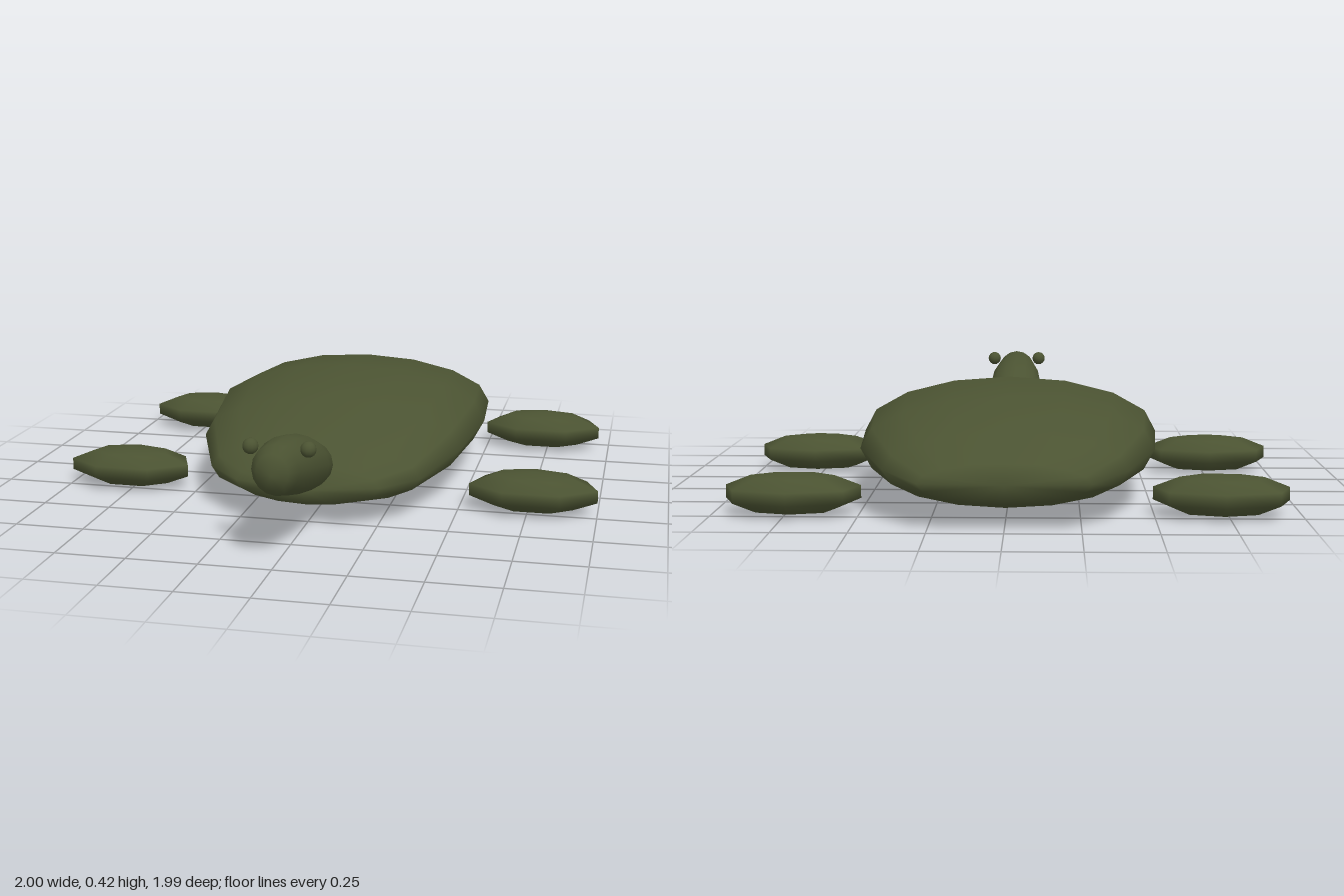
import * as THREE from 'three';
import { mergeVertices } from 'three/addons/utils/BufferGeometryUtils.js';

// Loft elliptical rings, front to back. Each ring: [topZ, topY, bottomZ, bottomY, halfWidth]
function loft(rings, sides) {
  const positions = [];
  const index = [];
  for (const [tz, ty, bz, by, w] of rings) {
    for (let j = 0; j < sides; j++) {
      const a = (j / sides) * Math.PI * 2;
      const s = Math.sin(a) / 2;
      positions.push(
        w * Math.cos(a),
        (ty + by) / 2 + (ty - by) * s,
        (tz + bz) / 2 + (tz - bz) * s
      );
    }
  }
  for (let i = 0; i < rings.length - 1; i++) {
    for (let j = 0; j < sides; j++) {
      const k = (j + 1) % sides;
      const a = i * sides + j, b = i * sides + k;
      const c = a + sides, d = b + sides;
      if (i > 0) index.push(a, c, b);
      if (i < rings.length - 2) index.push(b, c, d);
      else if (i === 0) index.push(a, c, b);
    }
  }
  const geometry = new THREE.BufferGeometry();
  geometry.setAttribute('position', new THREE.Float32BufferAttribute(positions, 3));
  geometry.setIndex(index);
  const welded = mergeVertices(geometry, 1e-5);
  welded.computeVertexNormals();
  return welded;
}

export function createModel() {
  const model = new THREE.Group();
  model.name = 'turtle';
  const green = new THREE.MeshStandardMaterial({ color: 0x4b5332 });
  green.name = 'olive green';

  const add = (name, geometry, x = 0, y = 0, z = 0) => {
    const mesh = new THREE.Mesh(geometry, green);
    mesh.name = name;
    mesh.position.set(x, y, z);
    model.add(mesh);
  };

  // Domed shell with a shallow belly
  add('shell', loft([
    [0.575, 0.14, 0.575, 0.14, 0],
    [0.49, 0.215, 0.54, 0.08, 0.26],
    [0.39, 0.262, 0.41, 0.05, 0.385],
    [0.14, 0.365, 0.13, 0.03, 0.49],
    [-0.21, 0.42, -0.21, 0.022, 0.535],
    [-0.56, 0.388, -0.6, 0.032, 0.508],
    [-0.82, 0.302, -0.84, 0.055, 0.406],
    [-0.955, 0.222, -0.955, 0.088, 0.283],
    [-0.995, 0.157, -0.995, 0.157, 0],
  ], 16));

  // Raised head and neck
  add('head', loft([
    [0.992, 0.315, 0.992, 0.315, 0],
    [0.977, 0.385, 0.98, 0.263, 0.055],
    [0.94, 0.408, 0.94, 0.235, 0.08],
    [0.8, 0.4, 0.78, 0.187, 0.103],
    [0.66, 0.37, 0.62, 0.152, 0.11],
    [0.51, 0.31, 0.54, 0.142, 0.097],
    [0.485, 0.265, 0.492, 0.18, 0.05],
    [0.475, 0.225, 0.475, 0.225, 0],
  ], 16));

  // Low-sided flippers and small bead eyes, mirrored
  const flipper = new THREE.SphereGeometry(1, 7, 5, -Math.PI / 2).scale(0.25, 0.072, 0.144);
  const eye = new THREE.SphereGeometry(0.027, 12, 8);
  for (const [side, s] of [['left', 1], ['right', -1]]) {
    add(side + 'FrontFlipper', flipper, s * 0.768, 0.075, 0.192);
    add(side + 'RearFlipper', flipper, s * 0.728, 0.075, -0.698);
    add(side + 'Eye', eye, s * 0.097, 0.382, 0.885);
  }
  return model;
}
